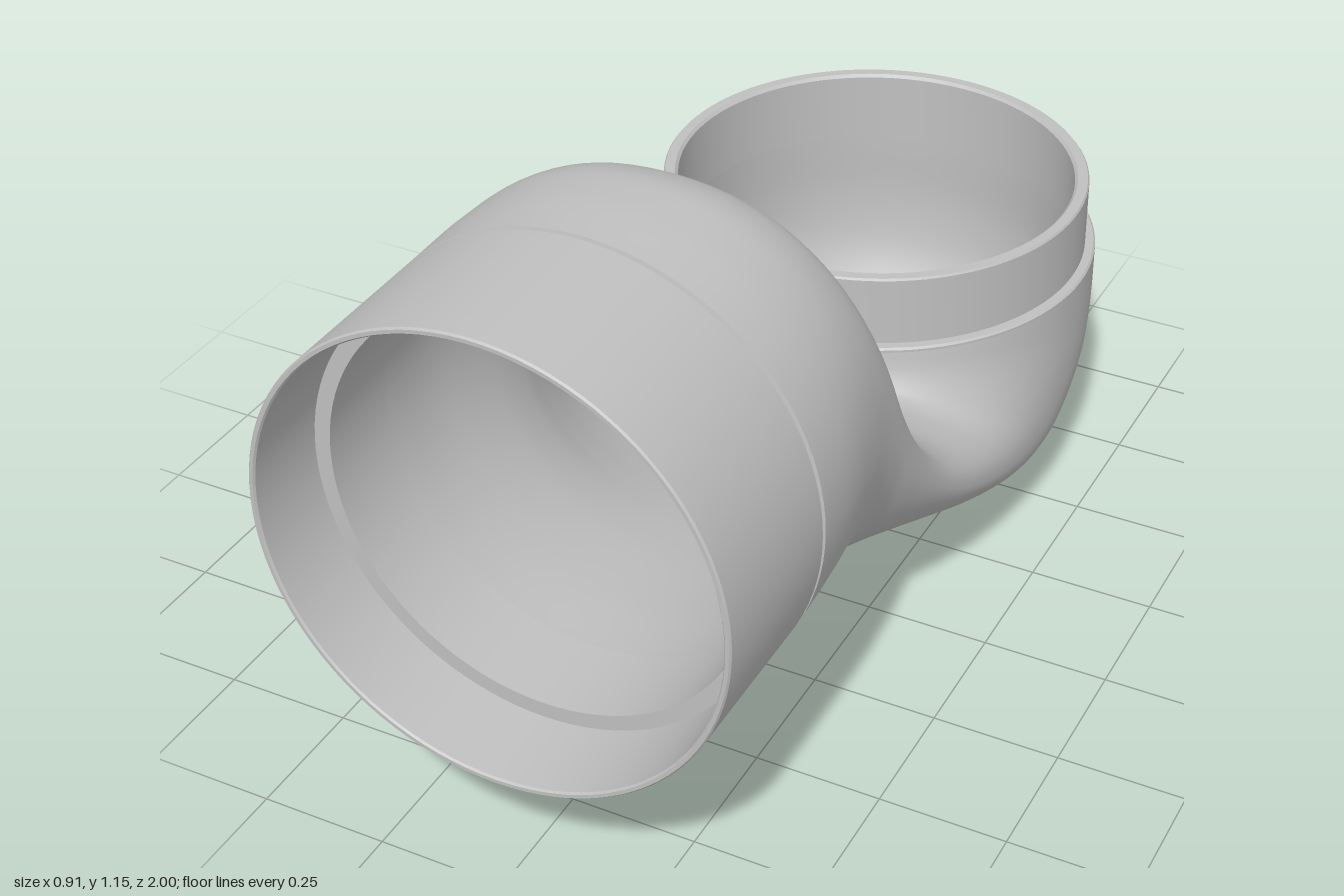
import * as THREE from 'three';
import { toCreasedNormals } from 'three/addons/utils/BufferGeometryUtils.js';

const RINGS = 110;
const SIDES = 96;

// Body sections from front to rear: [topZ, topY, bottomZ, bottomY, halfWidth]
const SECTIONS = [
  [0.655, 1.15, 0.655, 0.24, 0.455],
  [0.51, 1.149, 0.53, 0.238, 0.446],
  [0.41, 1.138, 0.43, 0.231, 0.432],
  [0.33, 1.098, 0.33, 0.22, 0.419],
  [0.275, 1.01, 0.24, 0.205, 0.413],
  [0.24, 0.87, 0.15, 0.187, 0.412],
  [0.205, 0.74, 0.05, 0.163, 0.414],
  [0.16, 0.63, -0.06, 0.135, 0.418],
  [0.1, 0.545, -0.18, 0.1, 0.423],
  [0.03, 0.49, -0.32, 0.058, 0.43],
  [-0.03, 0.468, -0.46, 0.018, 0.437],
  [-0.065, 0.461, -0.6, 0.001, 0.443],
  [-0.08, 0.463, -0.75, 0.025, 0.449],
  [-0.087, 0.475, -0.88, 0.105, 0.453],
  [-0.09, 0.488, -0.96, 0.21, 0.455],
  [-0.09, 0.5, -0.993, 0.33, 0.455],
  [-0.09, 0.512, -1, 0.512, 0.455],
];

// Lofts one skin of the bent pipe; the inner skin is pulled in by the wall thickness
function loftBody(inner) {
  const top = new THREE.CatmullRomCurve3(SECTIONS.map(s => new THREE.Vector3(s[4], s[1], s[0])));
  const bottom = new THREE.CatmullRomCurve3(SECTIONS.map(s => new THREE.Vector3(s[4], s[3], s[2])));
  const positions = [];
  const indices = [];
  for (let i = 0; i <= RINGS; i++) {
    const u = i / RINGS;
    const t = top.getPoint(u);
    const b = bottom.getPoint(u);
    const middle = Math.sin(Math.PI * u);
    const wall = inner ? 0.05 - 0.025 * middle : 0;
    const length = Math.hypot(t.y - b.y, t.z - b.z);
    const half = length / 2 - wall;
    const width = t.x - wall;
    const dy = (t.y - b.y) / length;
    const dz = (t.z - b.z) / length;
    for (let j = 0; j < SIDES; j++) {
      const angle = (j / SIDES) * Math.PI * 2;
      const c = Math.cos(angle);
      const s = Math.sin(angle);
      // The upper half is slightly squarer along the middle of the pipe
      const power = c > 0 ? 2 / (2 + 0.35 * middle) : 1;
      const up = Math.sign(c) * Math.abs(c) ** power * half;
      const side = Math.sign(s) * Math.abs(s) ** power * width;
      positions.push(side, (t.y + b.y) / 2 + up * dy, (t.z + b.z) / 2 + up * dz);
    }
  }
  for (let i = 0; i < RINGS; i++) {
    for (let j = 0; j < SIDES; j++) {
      const a = i * SIDES + j;
      const b = i * SIDES + (j + 1) % SIDES;
      const c = a + SIDES;
      const d = b + SIDES;
      if (inner) indices.push(a, c, b, b, c, d);
      else indices.push(a, b, c, b, d, c);
    }
  }
  const geometry = new THREE.BufferGeometry();
  geometry.setAttribute('position', new THREE.Float32BufferAttribute(positions, 3));
  geometry.setIndex(indices);
  geometry.computeVertexNormals();
  return geometry;
}

// Turned ring with crisp steps
function turnedRing(profile) {
  const points = profile.map(([r, h]) => new THREE.Vector2(r, h));
  return toCreasedNormals(new THREE.LatheGeometry(points, SIDES), 0.5);
}

export function createModel() {
  const group = new THREE.Group();
  group.name = 'pipeBend';
  const grey = new THREE.MeshStandardMaterial({ color: 0xc0c0c0 });
  grey.name = 'light grey plastic';

  const add = (name, geometry) => {
    const mesh = new THREE.Mesh(geometry, grey);
    mesh.name = name;
    group.add(mesh);
    return mesh;
  };

  add('bodyOuterSkin', loftBody(false));
  add('bodyInnerSkin', loftBody(true));

  // Front socket with an outer groove and an inner stop step
  const socket = add('frontSocket', turnedRing([
    [0.455, 0.655], [0.447, 0.657], [0.447, 0.664], [0.455, 0.666],
    [0.455, 0.996], [0.452, 1], [0.445, 1], [0.442, 0.996],
    [0.436, 0.83], [0.405, 0.83], [0.405, 0.655],
  ]));
  socket.rotation.x = Math.PI / 2;
  socket.position.y = 0.695;

  // Rear spigot rising from a ledge on the body
  const spigot = add('rearSpigot', turnedRing([
    [0.455, 0.512], [0.455, 0.517], [0.451, 0.521], [0.434, 0.521],
    [0.434, 0.662], [0.431, 0.666], [0.411, 0.666], [0.405, 0.66],
    [0.405, 0.512],
  ]));
  spigot.position.z = -0.545;

  return group;
}
